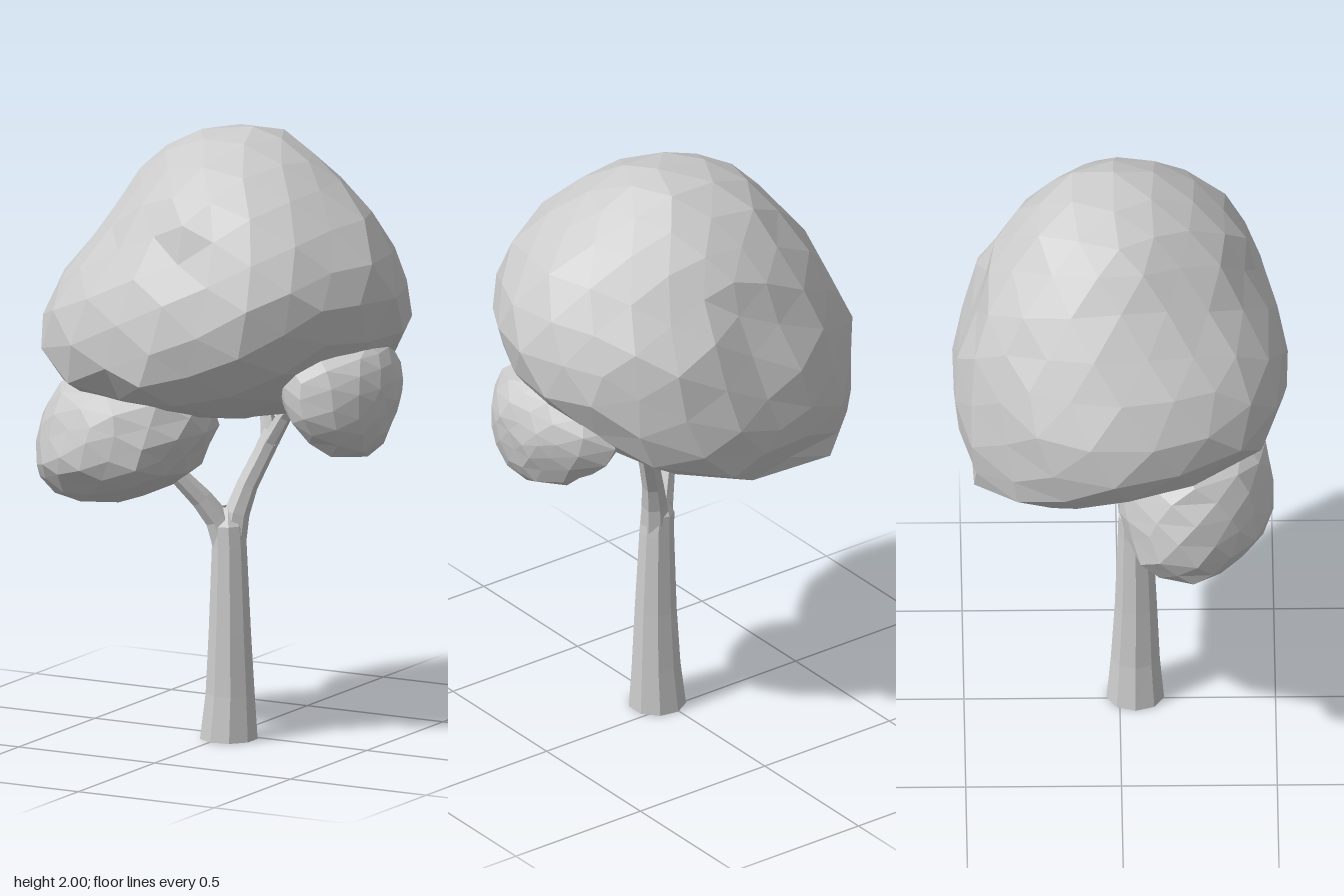
import * as THREE from 'three';

const material = new THREE.MeshStandardMaterial({ color: 0xcccccc, flatShading: true, side: THREE.DoubleSide });

// Repeatable value in -1..1 for a direction
function hash(x, y, z, seed) {
  const s = Math.sin(Math.round(x * 500) * 12.99 + Math.round(y * 500) * 78.23 + Math.round(z * 500) * 37.72 + seed) * 4375.85;
  return (s - Math.floor(s)) * 2 - 1;
}

// Oval row from its extents, with a factor for each diagonal radius
function oval(y, x0, x1, z0, z1, corners) {
  const hx = (x1 - x0) / 2;
  const hz = (z1 - z0) / 2;
  const diagonal = (Math.SQRT2 * hx * hz) / Math.hypot(hx, hz);
  const [a, b, c, d] = corners.map((f) => f * diagonal);
  return [y, (x0 + x1) / 2, (z0 + z1) / 2, hx, a, hz, b, hx, c, hz, d];
}

// Faceted leaf mass: an icosphere fitted to rows of [y, centreX, centreZ, eight radii from +x round by +z]
function foliage(name, rows, detail, rough, seed) {
  const geometry = new THREE.IcosahedronGeometry(1, detail);
  const pos = geometry.attributes.position;
  const d = new THREE.Vector3();
  for (let i = 0; i < pos.count; i++) {
    d.fromBufferAttribute(pos, i).normalize();
    const latitude = Math.asin(THREE.MathUtils.clamp(d.y, -1, 1)) / Math.PI + 0.5;
    const u = latitude * (rows.length - 1);
    const k = Math.min(Math.floor(u), rows.length - 2);
    const [y, cx, cz, ...radii] = rows[k].map((v, j) => THREE.MathUtils.lerp(v, rows[k + 1][j], u - k));
    const angle = Math.atan2(d.z, d.x);
    const sector = (angle / (Math.PI / 4) + 8) % 8;
    const n = Math.floor(sector);
    const radius = THREE.MathUtils.lerp(radii[n], radii[(n + 1) % 8], sector - n);
    const r = radius * (1.01 + rough * hash(d.x, d.y, d.z, seed));
    const lift = 0.4 * rough * (1 - Math.abs(d.y)) * hash(d.z, d.x, d.y, seed + 3);
    pos.setXYZ(i, cx + r * Math.cos(angle), y + lift, cz + r * Math.sin(angle));
  }
  geometry.computeVertexNormals();
  const mesh = new THREE.Mesh(geometry, material);
  mesh.name = name;
  return mesh;
}

// Tapered open limb through points of [x, y, z, radius]
function limb(name, points, sides) {
  const centres = points.map(([x, y, z]) => new THREE.Vector3(x, y, z));
  const up = new THREE.Vector3(0, 1, 0);
  const verts = [];
  const index = [];
  const last = points.length - 1;
  centres.forEach((c, i) => {
    const tangent = centres[Math.min(i + 1, last)].clone().sub(centres[Math.max(i - 1, 0)]).normalize();
    const turn = new THREE.Quaternion().setFromUnitVectors(up, i === 0 ? up : tangent);
    for (let j = 0; j < sides; j++) {
      const a = ((j + 0.5) / sides) * Math.PI * 2;
      const r = points[i][3];
      const p = new THREE.Vector3(Math.cos(a) * r, 0, Math.sin(a) * r).applyQuaternion(turn).add(c);
      verts.push(p.x, p.y, p.z);
      if (i < last) {
        const n = (j + 1) % sides;
        const b = i * sides;
        index.push(b + j, b + sides + j, b + n, b + n, b + sides + j, b + sides + n);
      }
    }
  });
  const geometry = new THREE.BufferGeometry();
  geometry.setAttribute('position', new THREE.Float32BufferAttribute(verts, 3));
  geometry.setIndex(index);
  geometry.computeVertexNormals();
  const mesh = new THREE.Mesh(geometry, material);
  mesh.name = name;
  return mesh;
}

export function createModel() {
  const tree = new THREE.Group();
  tree.name = 'tree';

  // Trunk and its forked branches
  tree.add(
    limb('trunk', [
      [0.02, 0, 0.05, 0.094], [0.025, 0.15, 0.05, 0.08], [0.025, 0.35, 0.052, 0.069],
      [0.022, 0.63, 0.05, 0.057], [0.018, 0.7, 0.05, 0.055], [0.016, 0.76, 0.05, 0.02],
    ], 9),
    limb('rightBranch', [
      [0.012, 0.63, 0.055, 0.045], [-0.01, 0.72, 0.07, 0.042], [-0.05, 0.79, 0.105, 0.036],
      [-0.1, 0.86, 0.15, 0.031], [-0.2, 0.98, 0.22, 0.027],
    ], 7),
    limb('leftBranch', [
      [0.028, 0.63, 0.048, 0.047], [0.04, 0.74, 0.035, 0.043], [0.065, 0.83, 0.01, 0.036],
      [0.1, 0.92, -0.02, 0.034], [0.13, 1.0, -0.045, 0.034],
    ], 7),
    limb('innerTwig', [[0.125, 0.96, -0.035, 0.03], [0.1, 1.05, -0.06, 0.023], [0.06, 1.2, -0.09, 0.018]], 6),
    limb('outerTwig', [[0.12, 0.96, -0.035, 0.032], [0.18, 1.06, -0.03, 0.025], [0.3, 1.19, 0, 0.02]], 6)
  );

  // Leaf masses
  tree.add(
    foliage('mainCanopy', [
      [0.98, -0.17, -0.25, 0.08, 0.08, 0.08, 0.08, 0.08, 0.08, 0.08, 0.08],
      [1.03, -0.13, -0.22, 0.19, 0.21, 0.25, 0.27, 0.29, 0.31, 0.23, 0.28],
      [1.1, -0.11, -0.12, 0.4, 0.44, 0.46, 0.41, 0.42, 0.4, 0.37, 0.49],
      [1.2, -0.05, -0.03, 0.48, 0.49, 0.54, 0.56, 0.55, 0.52, 0.49, 0.58],
      [1.34, 0, 0, 0.57, 0.52, 0.545, 0.61, 0.59, 0.575, 0.525, 0.565],
      [1.5, 0.03, 0, 0.56, 0.54, 0.5, 0.58, 0.575, 0.56, 0.48, 0.53],
      [1.64, 0.05, 0, 0.52, 0.49, 0.43, 0.48, 0.5, 0.52, 0.43, 0.44],
      [1.78, 0.05, 0, 0.4, 0.41, 0.385, 0.36, 0.39, 0.42, 0.38, 0.34],
      [1.89, 0.03, 0, 0.28, 0.29, 0.27, 0.26, 0.3, 0.32, 0.27, 0.26],
      [1.97, 0.03, -0.02, 0.15, 0.15, 0.15, 0.14, 0.15, 0.16, 0.15, 0.15],
      [2.0, 0.03, -0.02, 0.04, 0.04, 0.04, 0.04, 0.04, 0.04, 0.04, 0.04],
    ], 3, 0.025, 1.7),
    foliage('lowerRightCanopy', [
      [0.76, -0.42, -0.34, 0.2, 0.27],
      [0.81, -0.54, -0.17, 0.08, 0.38],
      [0.91, -0.57, -0.01, 0.01, 0.48],
      [1.03, -0.55, 0.04, 0, 0.48],
      [1.14, -0.51, 0.03, 0.02, 0.45],
      [1.22, -0.38, -0.13, 0.13, 0.32],
    ].map((row) => oval(...row, [1.06, 0.95, 1.14, 1.12])), 2, 0.04, 4.2),
    foliage('lowerLeftCanopy', [
      [0.96, 0.43, 0.52, 0.0, 0.12],
      [1.02, 0.37, 0.57, -0.12, 0.23],
      [1.12, 0.29, 0.6, -0.22, 0.3],
      [1.22, 0.25, 0.595, -0.28, 0.31],
      [1.31, 0.28, 0.57, -0.2, 0.27],
      [1.36, 0.36, 0.5, -0.05, 0.1],
    ].map((row) => oval(...row, [1.05, 1.05, 1.05, 0.95])), 2, 0.03, 8.9)
  );
  return tree;
}
